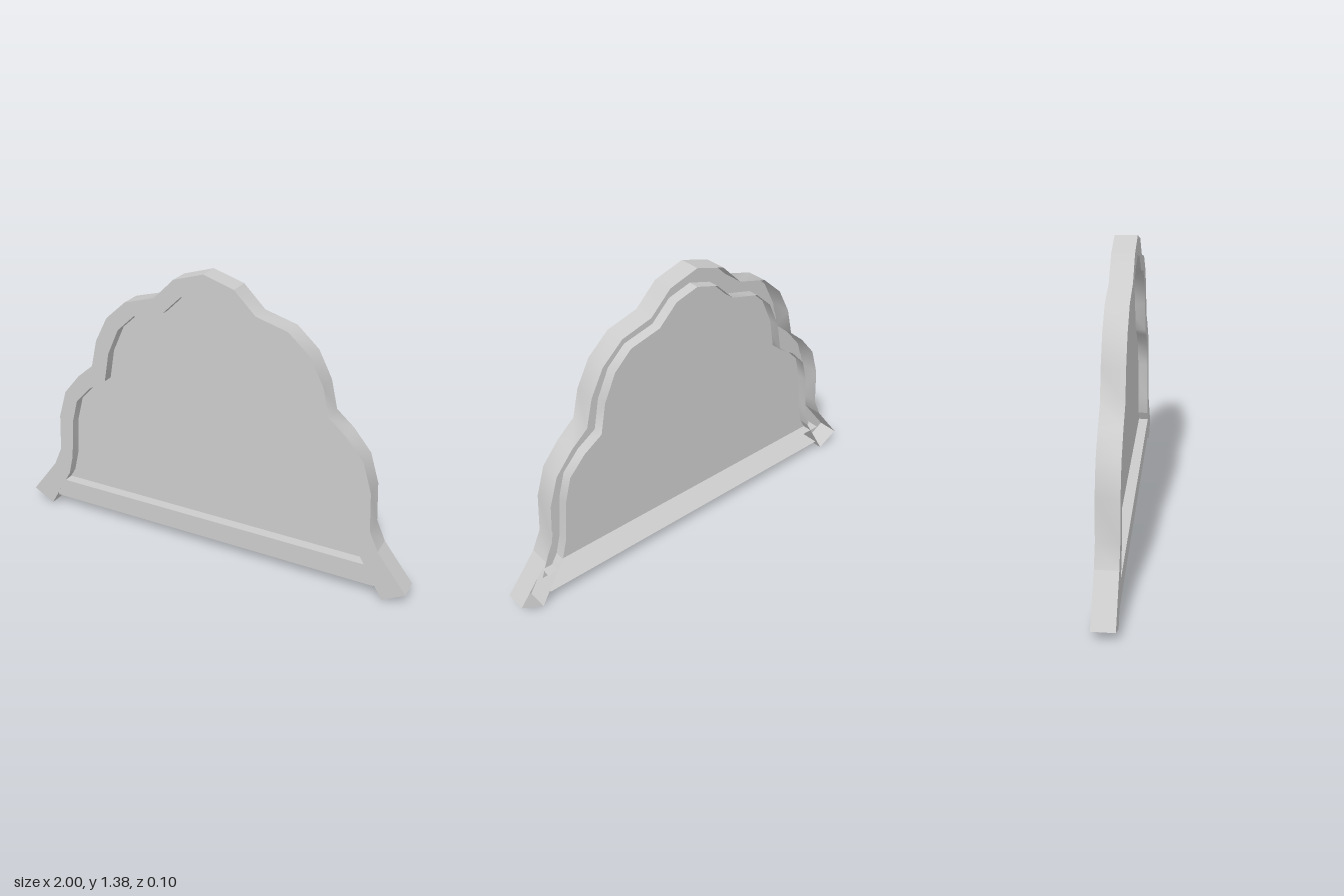
import * as THREE from 'three';
import { mergeGeometries } from 'three/addons/utils/BufferGeometryUtils.js';

const D = 0.05; // half depth of the frame

// Half outlines from the peak down to the foot
const outer = [[0, 1.375], [0.145, 1.33], [0.246, 1.23], [0.396, 1.187], [0.498, 1.095], [0.562, 0.972],
  [0.594, 0.838], [0.675, 0.769], [0.76, 0.667], [0.803, 0.528], [0.814, 0.34], [0.857, 0.245], [0.92, 0.163], [1, 0.06]];
const inner = [[0, 1.288], [0.112, 1.255], [0.204, 1.165], [0.353, 1.127], [0.439, 1.047], [0.498, 0.919],
  [0.525, 0.774], [0.616, 0.715], [0.696, 0.629], [0.728, 0.511], [0.745, 0.313], [0.771, 0.21], [0.818, 0.13], [0.894, 0]];

const material = new THREE.MeshStandardMaterial({ color: 0xcccccc, side: THREE.DoubleSide });

// Ribbon of quads between two rows of points
function strip(a, b) {
  const position = [], index = [];
  a.forEach((p, i) => {
    position.push(...p, ...b[i]);
    if (i) {
      const k = 2 * i - 2;
      index.push(k, k + 1, k + 2, k + 1, k + 3, k + 2);
    }
  });
  const g = new THREE.BufferGeometry();
  g.setAttribute('position', new THREE.Float32BufferAttribute(position, 3));
  g.setIndex(index);
  g.computeVertexNormals();
  return g;
}

// Channel section, open at the back, following the outlines from point i to j
function channel(i, j, side, capped) {
  const row = (pts, z) => pts.slice(i, j + 1).map(([x, y]) => [x * side, y, z]);
  const oF = row(outer, D), oB = row(outer, -D), iF = row(inner, D), iB = row(inner, -D);
  const pairs = [[oF, iF], [oB, oF], [iF, iB]];
  const n = j - i;
  if (capped) pairs.push([[oB[n], iB[n]], [oF[n], iF[n]]]);
  return mergeGeometries(pairs.map(([a, b]) => (side > 0 ? strip(a, b) : strip(b, a))));
}

export function createModel() {
  const group = new THREE.Group();
  const add = (name, geometry) => {
    const mesh = new THREE.Mesh(geometry, material);
    mesh.name = name;
    group.add(mesh);
  };

  // Scalloped frame, mirrored left and right
  for (const [word, side] of [['left', 1], ['right', -1]]) {
    add(word + 'Crown', channel(0, 1, side));
    add(word + 'Arch', channel(1, 11, side));
    add(word + 'Foot', channel(11, 13, side, true));
  }

  // Thin panel, its edge tucked halfway into the frame
  const half = outer.slice(0, 12).map(([x, y], i) => new THREE.Vector2((x + inner[i][0]) / 2, (y + inner[i][1]) / 2));
  half.push(new THREE.Vector2(0.855, 0.11));
  const mirrored = half.slice(1).reverse().map((p) => new THREE.Vector2(-p.x, p.y));
  add('panel', new THREE.ShapeGeometry(new THREE.Shape([...half, ...mirrored])));

  // Bottom rail: top, front and underside sheets, open at the back
  const w = 0.85, z = D - 0.001;
  const profile = [[0.16, -z], [0.16, z], [0.06, z], [0.06, -z]];
  const sheets = profile.slice(1).map((p, i) => {
    const ends = (x) => [profile[i], p].map(([y, pz]) => [x, y, pz]);
    return strip(ends(-w), ends(w)).toNonIndexed();
  });
  sheets.forEach((g) => {
    // Turn the sheets to face outward
    const index = [0, 2, 1, 3, 5, 4];
    g.setIndex(index);
    g.computeVertexNormals();
  });
  add('bottomRail', mergeGeometries(sheets));

  return group;
}
